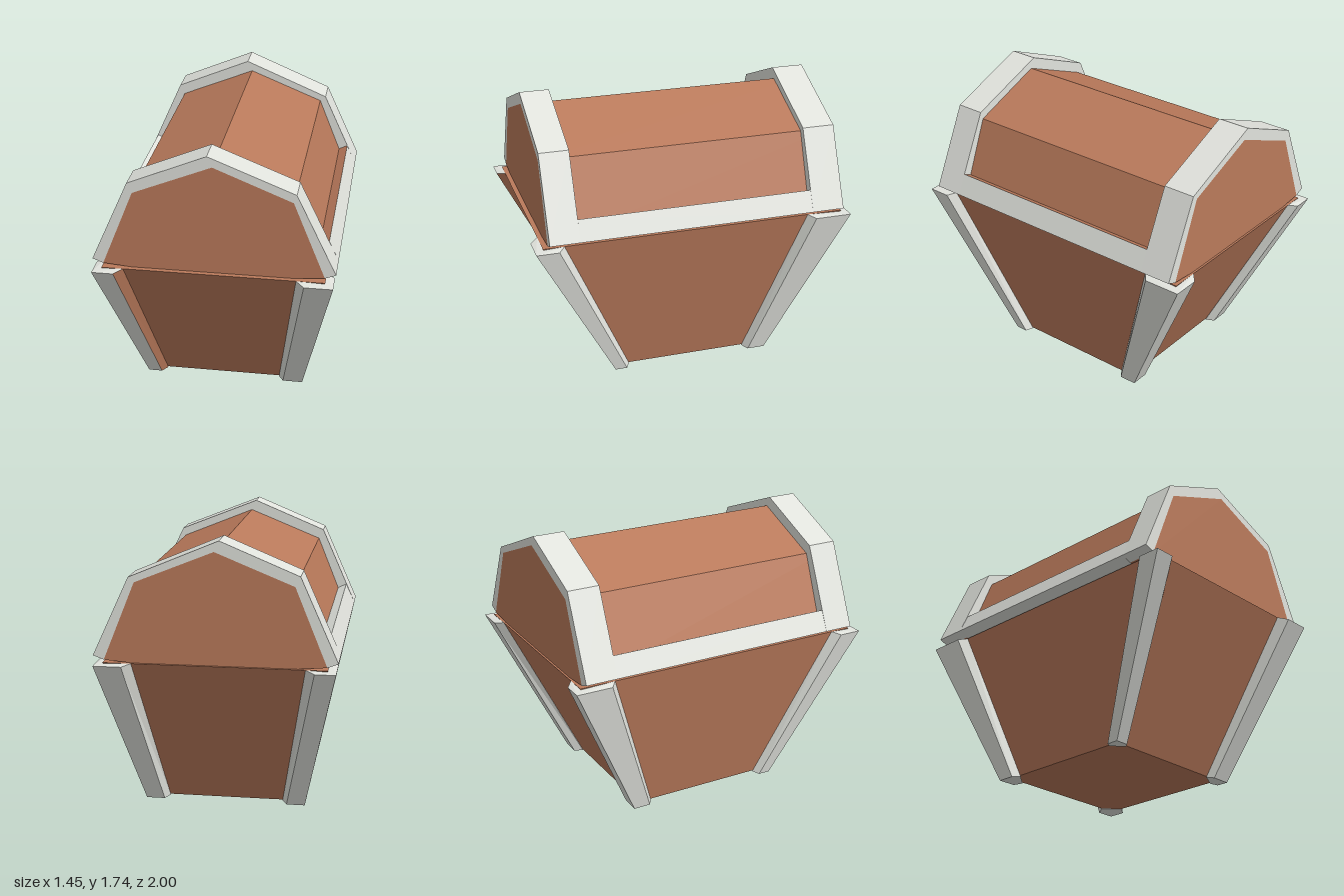
import * as THREE from 'three';

const wood = new THREE.MeshStandardMaterial({ color: 0xba7a5b });
wood.name = 'brown wood';
const metal = new THREE.MeshStandardMaterial({ color: 0xe1e3dd });
metal.name = 'pale grey metal';

// Faceted solid between two matching rings; group 0 is the caps, group i + 1 is side i.
function loft(bottom, top, flip) {
  const pos = [];
  const geo = new THREE.BufferGeometry();
  const tri = (a, b, c) => pos.push(...a, ...(flip ? c : b), ...(flip ? b : c));
  const n = bottom.length;
  for (let i = 1; i < n - 1; i++) {
    tri(top[0], top[i], top[i + 1]);
    tri(bottom[0], bottom[i + 1], bottom[i]);
  }
  geo.addGroup(0, pos.length / 3, 0);
  for (let i = 0; i < n; i++) {
    const j = (i + 1) % n;
    geo.addGroup(pos.length / 3, 6, i + 1);
    tri(bottom[i], bottom[j], top[j]);
    tri(bottom[i], top[j], top[i]);
  }
  geo.setAttribute('position', new THREE.Float32BufferAttribute(pos, 3));
  geo.computeVertexNormals();
  return geo;
}

// Profile in x, y pushed from z0 to z1
function slab(points, z0, z1) {
  const shape = new THREE.Shape(points.map(([x, y]) => new THREE.Vector2(x, y)));
  return new THREE.ExtrudeGeometry(shape, { depth: z1 - z0, bevelEnabled: false }).translate(0, 0, z0);
}

export function createModel() {
  const group = new THREE.Group();
  const add = (name, geo, mat) => {
    const mesh = new THREE.Mesh(geo, mat);
    mesh.name = name;
    group.add(mesh);
  };

  // Tapered body
  const rect = (x, y, zf, zb) => [[-x, y, zf], [x, y, zf], [x, y, zb], [-x, y, zb]];
  add('body', loft(rect(0.46, 0.012, 0.44, -0.48), rect(0.665, 1, 0.95, -0.955)), Array(5).fill(wood));

  // Corner posts: outer faces with a bevel running back to each wall
  const ring = (sx, sz, y, yWall, X, xi, xw, Xw, Z, zi, zw, Zw) => [
    [X, y, Z], [X, y, zi], [Xw, yWall, zw], [xw, yWall, Zw], [xi, y, Z],
  ].map(([x, h, z]) => [x * sx, h, z * sz]);
  for (const sx of [-1, 1]) {
    for (const sz of [-1, 1]) {
      const front = sz > 0, left = sx < 0;
      const low = front
        ? ring(sx, sz, 0, 0.006, 0.505, left ? 0.42 : 0.38, left ? 0.385 : 0.35, 0.46, 0.48, 0.405, 0.38, 0.44)
        : ring(sx, sz, 0, 0.006, 0.505, 0.39, 0.36, 0.46, 0.53, 0.42, 0.39, 0.48);
      const high = front
        ? ring(sx, sz, 0.988, 1, 0.715, left ? 0.585 : 0.545, left ? 0.535 : 0.495, 0.665, 1, 0.86, 0.82, 0.95)
        : ring(sx, sz, 0.988, 1, 0.715, left ? 0.59 : 0.545, left ? 0.535 : 0.495, 0.665, 1, 0.77, 0.73, 0.955);
      const mats = Array(6).fill(metal);
      if (front && left) mats[4] = wood; // one bevel is bare wood
      add('cornerPost', loft(low, high, sx * sz < 0), mats);
    }
  }

  // Faceted wooden lid
  const arch = [[0.66, 1.015], [0.47, 1.485], [0, 1.675], [-0.47, 1.485], [-0.66, 1.015]];
  add('lid', slab([...arch, [-0.49, 1.001], [0.49, 1.001]], -0.943, 0.92), wood);

  // Metal bands at both ends of the lid
  const band = (shoulder) => [[0.725, 1.04], shoulder, [-0.03, 1.74], [-0.5, 1.545], [-0.725, 1.04], ...[...arch].reverse()];
  add('frontBand', slab(band([0.487, 1.535]), 0.735, 0.92), metal);
  add('backBand', slab(band([0.505, 1.515]), -0.943, -0.74), metal);

  // Side rails joining the bands, with an inward-sloping top and a metal underside
  for (const s of [-1, 1]) {
    const rail = (z) => [[0.725, 1.04], [0.666, 1.165], [0.61, 1.138], [0.5, 0.9995], [0.66, 1.012]]
      .map(([x, y]) => [x * s, y, z]);
    const mats = Array(6).fill(metal);
    if (s > 0) mats[2] = wood; // one rail has a bare wood top
    add('sideRail', loft(rail(-0.74), rail(0.735), s < 0), mats);
  }

  return group;
}
